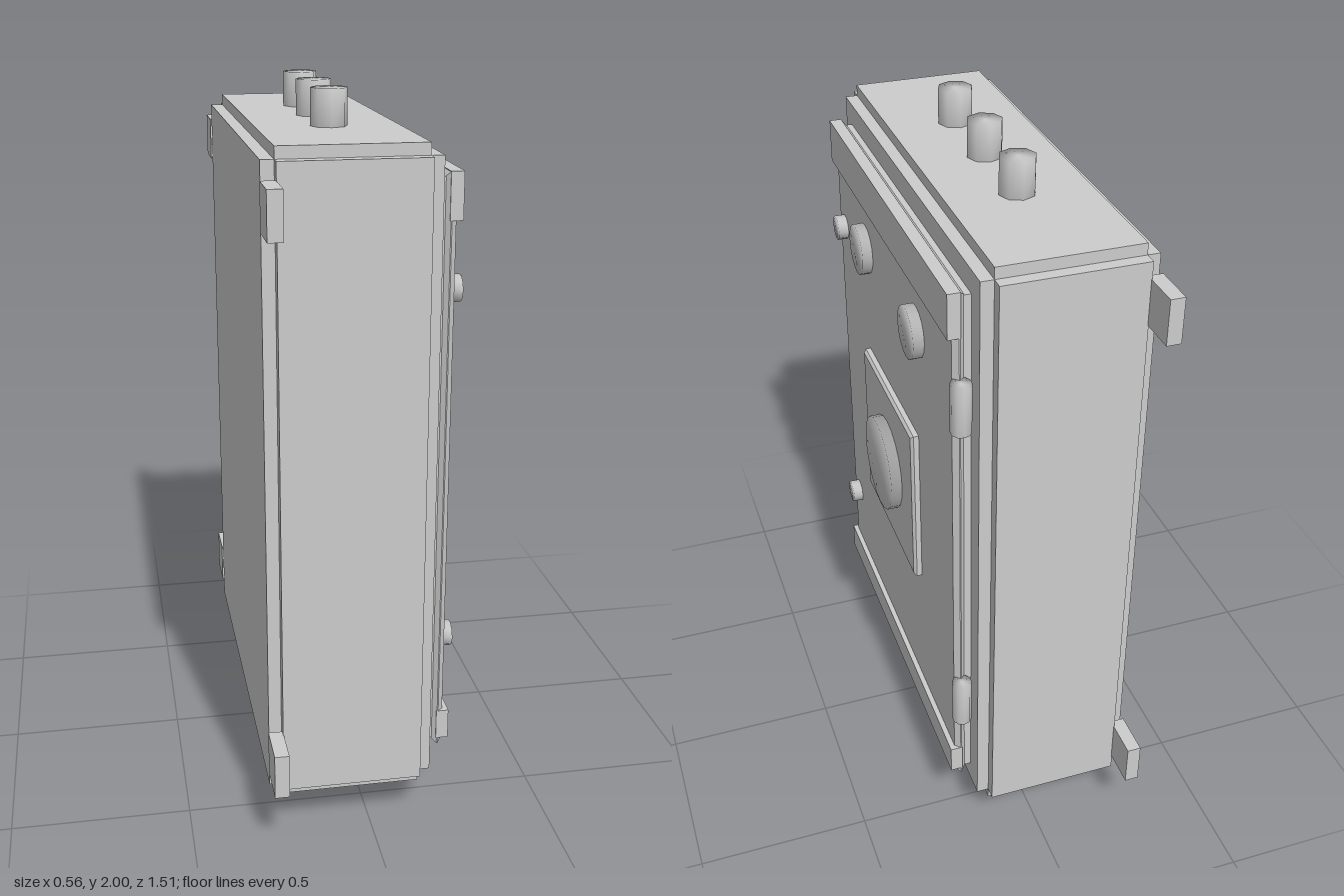
import * as THREE from 'three';
import { mergeVertices } from 'three/addons/utils/BufferGeometryUtils.js';

const steel = new THREE.MeshStandardMaterial({ color: 0xcccccc });
steel.name = 'light grey steel';

export function createModel() {
  const model = new THREE.Group();
  model.name = 'electricalCabinet';

  const add = (name, geometry, x = 0, y = 0, z = 0) => {
    const mesh = new THREE.Mesh(geometry, steel);
    mesh.name = name;
    mesh.position.set(x, y, z);
    model.add(mesh);
    return mesh;
  };

  // Box given by its lower and upper limits
  const box = (name, x0, x1, y0, y1, z0, z1) =>
    add(name, new THREE.BoxGeometry(x1 - x0, y1 - y0, z1 - z0),
      (x0 + x1) / 2, (y0 + y1) / 2, (z0 + z1) / 2);

  // Cylinder whose normals blend softly over its rims
  const softCylinder = (radius, height, sides) => {
    let g = new THREE.CylinderGeometry(radius, radius, height, sides);
    g.deleteAttribute('normal');
    g.deleteAttribute('uv');
    g = mergeVertices(g, 1e-4);
    g.computeVertexNormals();
    return g;
  };

  // Round knob standing out from the door along +x
  const knob = (name, radius, x0, x1, y, z, sides) =>
    add(name, softCylinder(radius, x1 - x0, sides).rotateZ(-Math.PI / 2), (x0 + x1) / 2, y, z);

  // Plate facing +x with chamfered edges
  const bevelPlate = (name, x0, x1, y0, y1, halfZ, bevel) => {
    const w = halfZ - bevel, h = (y1 - y0) / 2 - bevel;
    const shape = new THREE.Shape([
      new THREE.Vector2(-w, -h), new THREE.Vector2(w, -h),
      new THREE.Vector2(w, h), new THREE.Vector2(-w, h),
    ]);
    const g = new THREE.ExtrudeGeometry(shape, {
      depth: x1 - x0 - 2 * bevel, bevelEnabled: true,
      bevelThickness: bevel, bevelSize: bevel, bevelSegments: 1,
    });
    g.rotateY(Math.PI / 2);
    return add(name, g, x0 + bevel, (y0 + y1) / 2, 0);
  };

  // Body: three crossing boxes leave a stepped seam along every edge
  box('bodyFrontBack', -0.282, 0.175, 0.138, 1.868, -0.615, 0.615);
  box('bodyTopBottom', -0.247, 0.14, 0.105, 1.9, -0.615, 0.615);
  box('bodySides', -0.247, 0.14, 0.138, 1.868, -0.65, 0.65);

  // Door on its gasket, with raised bands at top and bottom
  box('doorGasket', 0.17, 0.21, 0.2, 1.805, -0.553, 0.553);
  bevelPlate('door', 0.192, 0.225, 0.185, 1.82, 0.565, 0.015);
  box('doorTopBand', 0.205, 0.24, 1.695, 1.82, -0.565, 0.565);
  box('doorBottomBand', 0.205, 0.24, 0.203, 0.29, -0.565, 0.565);

  // Main switch
  bevelPlate('switchPlate', 0.215, 0.248, 0.71, 1.21, 0.25, 0.008);
  knob('switchDial', 0.143, 0.24, 0.28, 0.962, 0, 20);

  // Indicator buttons
  for (const z of [-0.25, 0.25]) knob('button', 0.074, 0.215, 0.255, 1.547, z, 16);

  // Latches and hinges
  for (const y of [0.5, 1.505]) {
    knob('latch', 0.037, 0.215, 0.255, y, 0.493, 10);
    add('hinge', softCylinder(0.028, 0.145, 10), 0.21, y, -0.577);
  }

  // Cable glands above and below
  for (const z of [-0.25, 0, 0.25]) {
    add('topGland', softCylinder(0.05, 0.12, 8), -0.05, 1.94, z);
    add('bottomGland', softCylinder(0.05, 0.12, 8), -0.05, 0.06, z);
  }

  // Wall brackets at the back corners
  for (const side of [-1, 1]) {
    for (const y of [0.248, 1.757]) {
      add('wallBracket', new THREE.BoxGeometry(0.04, 0.126, 0.125), -0.265, y, side * 0.692);
    }
  }

  return model;
}
